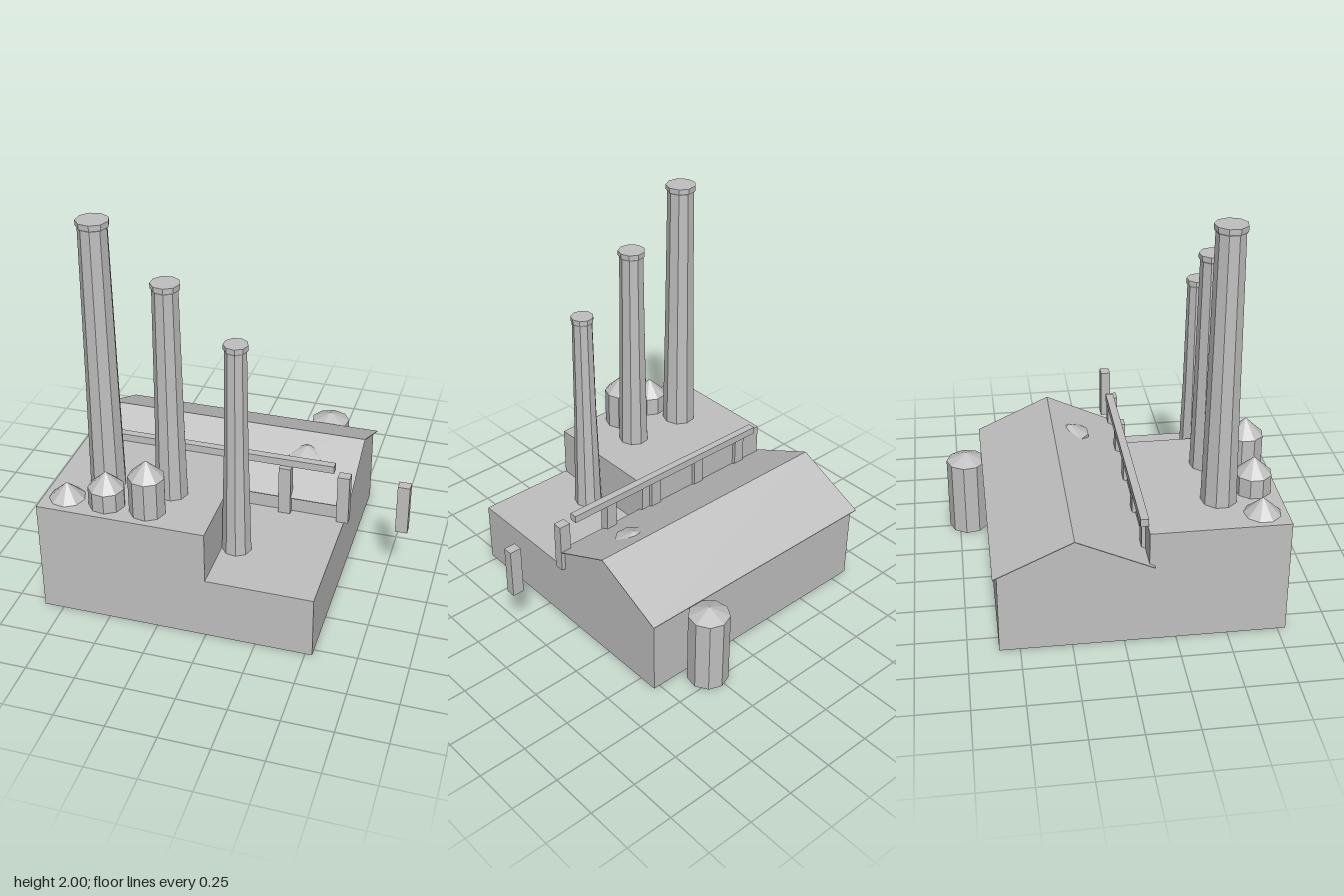
import * as THREE from 'three';

const concrete = new THREE.MeshStandardMaterial({ color: 0xc0c0c0, flatShading: true, side: THREE.DoubleSide });
concrete.name = 'concrete grey';

export function createModel() {
  const model = new THREE.Group();
  model.name = 'factory';

  const add = (name, geometry, x = 0, y = 0, z = 0) => {
    const mesh = new THREE.Mesh(geometry, concrete);
    mesh.name = name;
    mesh.position.set(x, y, z);
    model.add(mesh);
    return mesh;
  };

  // Removes the faces lying on the ground, leaving a shell open below
  const openBottom = (geometry) => {
    const flat = geometry.index ? geometry.toNonIndexed() : geometry;
    const p = flat.attributes.position;
    const kept = [];
    for (let i = 0; i < p.count; i += 3) {
      if ([0, 1, 2].every((k) => Math.abs(p.getY(i + k)) < 1e-5)) continue;
      for (let k = 0; k < 3; k++) kept.push(p.getX(i + k), p.getY(i + k), p.getZ(i + k));
    }
    const out = new THREE.BufferGeometry();
    out.setAttribute('position', new THREE.Float32BufferAttribute(kept, 3));
    out.computeVertexNormals();
    return out;
  };

  // Extrudes a [z, y] outline along x from x0 to x1
  const prism = (outline, x0, x1) => {
    const shape = new THREE.Shape(outline.map(([z, y]) => new THREE.Vector2(-z, y)));
    const g = new THREE.ExtrudeGeometry(shape, { depth: x1 - x0, bevelEnabled: false });
    return g.rotateY(Math.PI / 2).translate(x0, 0, 0);
  };

  const box = (x0, x1, y0, y1, z0, z1) =>
    new THREE.BoxGeometry(x1 - x0, y1 - y0, z1 - z0)
      .translate((x0 + x1) / 2, (y0 + y1) / 2, (z0 + z1) / 2);

  // Nine-sided turned part from [radius, height] points
  const turned = (points) =>
    new THREE.LatheGeometry(points.map(([r, y]) => new THREE.Vector2(r, y)), 9);

  // Front blocks
  add('tallBlock', openBottom(box(-0.85, 0, 0, 0.6, 0.115, 0.79)));
  add('lowBlock', openBottom(box(0, 0.535, 0, 0.33, 0.115, 0.79)));

  // Gabled hall and its thin overhanging roof
  add('hall', openBottom(prism(
    [[0.115, 0], [0.115, 0.43], [-0.237, 0.593], [-0.6, 0.424], [-0.6, 0]], -0.85, 0.535)));
  add('hallRoof', prism(
    [[0.14, 0.424], [-0.237, 0.6], [-0.62, 0.421], [-0.62, 0.417], [-0.237, 0.596], [0.14, 0.42]],
    -0.87, 0.555));

  // Chimneys: flared foot, tapering shaft, collar and closed top
  for (const [x, top, s] of [[-0.59, 2, 1], [-0.257, 1.735, 0.9], [0.072, 1.472, 0.76]]) {
    add('chimney', turned([
      [0.12 * s, 0], [0.104 * s, 0.2], [0.094 * s, 0.42], [0.088 * s, 0.65], [0.079 * s, top * 0.6],
      [0.07 * s, top - 0.035], [0.078 * s, top - 0.025], [0.078 * s, top], [0, top],
    ]), x, 0, 0.49).rotation.y = Math.PI / 2;
  }

  // Tanks with conical lids: x, z, radius, wall height, peak height
  const tank = (name, x, z, r, wall, peak, turn) => {
    add(name, turned([[r, 0], [r, wall], [0, peak]]), x, 0, z).rotation.y = turn;
  };
  [-0.735, -0.528, -0.32].forEach((x, i) =>
    tank('frontTank', x, 0.67, 0.09, 0.6 + 0.099 * i, 0.685 + 0.1 * i, Math.PI / 2));
  [-0.7, -0.418, -0.137].forEach((z, i) =>
    tank('hallTank', 0.27, z, 0.105 - 0.003 * i, 0.4 + 0.065 * i, 0.445 + 0.065 * i, Math.PI));

  // Row of posts and the rail above them
  for (let i = 0; i < 6; i++) {
    const x = 0.83 - 0.304 * i;
    add('post', box(x - 0.031, x + 0.031, 0.33, 0.6, 0.096, 0.147));
  }
  add('rail', box(-0.785, 0.47, 0.6, 0.64, 0.08, 0.12));

  return model;
}
